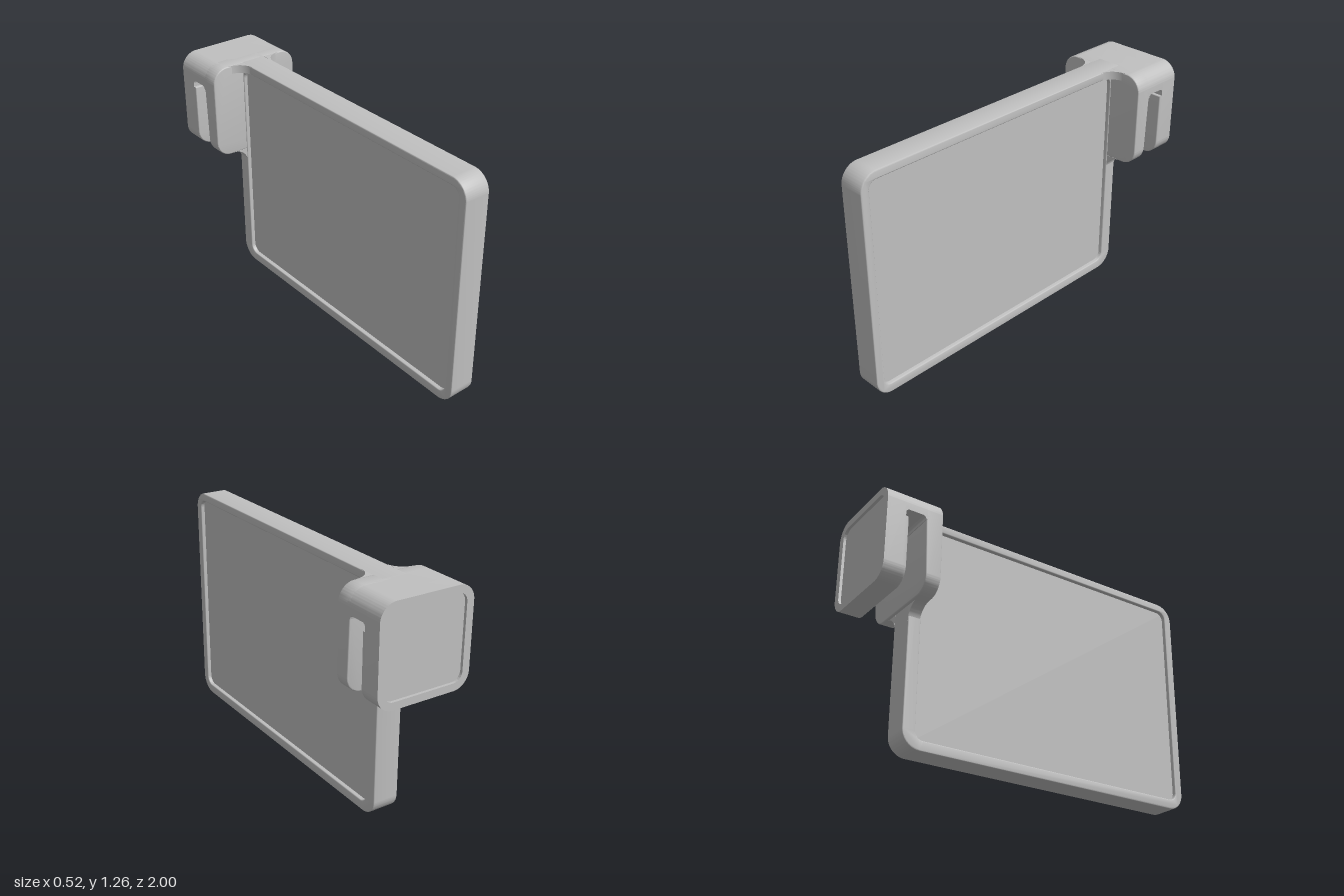
import * as THREE from 'three';
import { toCreasedNormals } from 'three/addons/utils/BufferGeometryUtils.js';

const grey = new THREE.MeshStandardMaterial({ color: 0xc0c0c0 });
grey.name = 'light grey plastic';

// Rounded rectangle; radii are [bottom left, bottom right, top right, top left]
function roundRect(Target, x0, y0, x1, y1, radii) {
  const [a, b, c, d] = Array.isArray(radii) ? radii : [radii, radii, radii, radii];
  const s = new Target();
  const H = Math.PI / 2;
  s.moveTo(x0 + a, y0);
  s.lineTo(x1 - b, y0);
  if (b) s.absarc(x1 - b, y0 + b, b, -H, 0);
  s.lineTo(x1, y1 - c);
  if (c) s.absarc(x1 - c, y1 - c, c, 0, H);
  s.lineTo(x0 + d, y1);
  if (d) s.absarc(x0 + d, y1 - d, d, H, Math.PI);
  s.lineTo(x0, y0 + a);
  if (a) s.absarc(x0 + a, y0 + a, a, Math.PI, 3 * H);
  return s;
}

// Triangle with a concave quarter arc, filling the corner at (x, y)
function fillet(x, y, r, sx, sy) {
  const s = new THREE.Shape();
  s.moveTo(x, y);
  s.lineTo(x + sx * r, y);
  for (let i = 1; i <= 16; i++) {
    const t = (i / 16) * Math.PI / 2;
    s.lineTo(x + sx * r * (1 - Math.sin(t)), y + sy * r * (1 - Math.cos(t)));
  }
  s.lineTo(x, y);
  return s;
}

// Extrusion from depth a to depth b, with an optional small edge rounding
function extrude(shape, a, b, bevel = 0) {
  const g = new THREE.ExtrudeGeometry(shape, {
    depth: b - a - 2 * bevel, curveSegments: 16, bevelEnabled: bevel > 0,
    bevelSize: bevel, bevelThickness: bevel, bevelOffset: -bevel, bevelSegments: 3,
  });
  return g.translate(0, 0, a + bevel);
}

export function createModel() {
  const model = new THREE.Group();
  model.name = 'panelWithClip';
  const add = (name, geometry, parent = model) => {
    const mesh = new THREE.Mesh(toCreasedNormals(geometry, 0.6), grey);
    mesh.name = name;
    parent.add(mesh);
  };

  // Panel: rim with a recessed sheet on both sides, drawn in z-y
  const rim = roundRect(THREE.Shape, -0.755, 0, 1, 1.26, [0.095, 0.095, 0.095, 0]);
  rim.holes.push(roundRect(THREE.Path, -0.685, 0.053, 0.953, 1.215, 0.045));
  add('panelRim', extrude(rim, -0.072, 0.072, 0.006).rotateY(-Math.PI / 2));
  add('panelSheet', new THREE.BoxGeometry(0.1, 1.18, 1.66).translate(0, 0.634, 0.134));

  // Clip: front leaf, bridge and back plate, drawn in x-y
  const clip = new THREE.Group();
  clip.name = 'clip';
  model.add(clip);
  const W = 0.262, B = 0.74, T = 1.26, R = 0.088;

  const leaf = extrude(roundRect(THREE.Shape, -W, B, W, T, R), -0.77, -0.69, 0.006);
  const p = leaf.attributes.position;
  for (let i = 0; i < p.count; i++) {
    // The slot side of the leaf leans back towards the top
    if (p.getZ(i) < -0.75) p.setZ(i, p.getZ(i) - 0.015 * Math.min(1, (p.getY(i) - B) / 0.4));
  }
  add('frontLeaf', leaf, clip);

  add('bridge', extrude(roundRect(THREE.Shape, -W, 1.15, W, T, [0, 0, R, R]), -0.9, -0.76), clip);

  // Slot ceiling with small rounded inner corners, drawn in z-y
  const ceiling = new THREE.Shape();
  ceiling.moveTo(-0.9, 1.15);
  ceiling.lineTo(-0.9, 1.12);
  ceiling.absarc(-0.877, 1.12, 0.02, Math.PI, Math.PI / 2, true);
  ceiling.lineTo(-0.805, 1.14);
  ceiling.absarc(-0.805, 1.12, 0.02, Math.PI / 2, 0, true);
  ceiling.lineTo(-0.77, 1.12);
  ceiling.lineTo(-0.77, 1.15);
  add('slotCeiling', extrude(ceiling, -W, W).rotateY(-Math.PI / 2), clip);

  add('slotGrip', extrude(roundRect(THREE.Shape, -W, B, W, 1.1, [R, R, 0, 0]), -0.91, -0.88, 0.006), clip);
  add('backPlate', extrude(roundRect(THREE.Shape, -W, B, W, T, R), -0.985, -0.897), clip);
  const border = roundRect(THREE.Shape, -W, B, W, T, R);
  border.holes.push(roundRect(THREE.Path, -W + 0.04, B + 0.04, W - 0.04, T - 0.04, 0.05));
  add('backBorder', extrude(border, -1, -0.985), clip);

  // Fillets joining the rim to the clip, at the top and under the leaf
  for (const side of [1, -1]) {
    const top = extrude(fillet(side * 0.068, -0.692, 0.095, side, 1), 0, 0.045);
    add('topFillet', top.rotateX(Math.PI / 2).translate(0, T, 0));
    add('lowerFillet', extrude(fillet(side * 0.068, B + 0.002, 0.088, side, -1), -0.755, -0.69));
  }
  return model;
}
